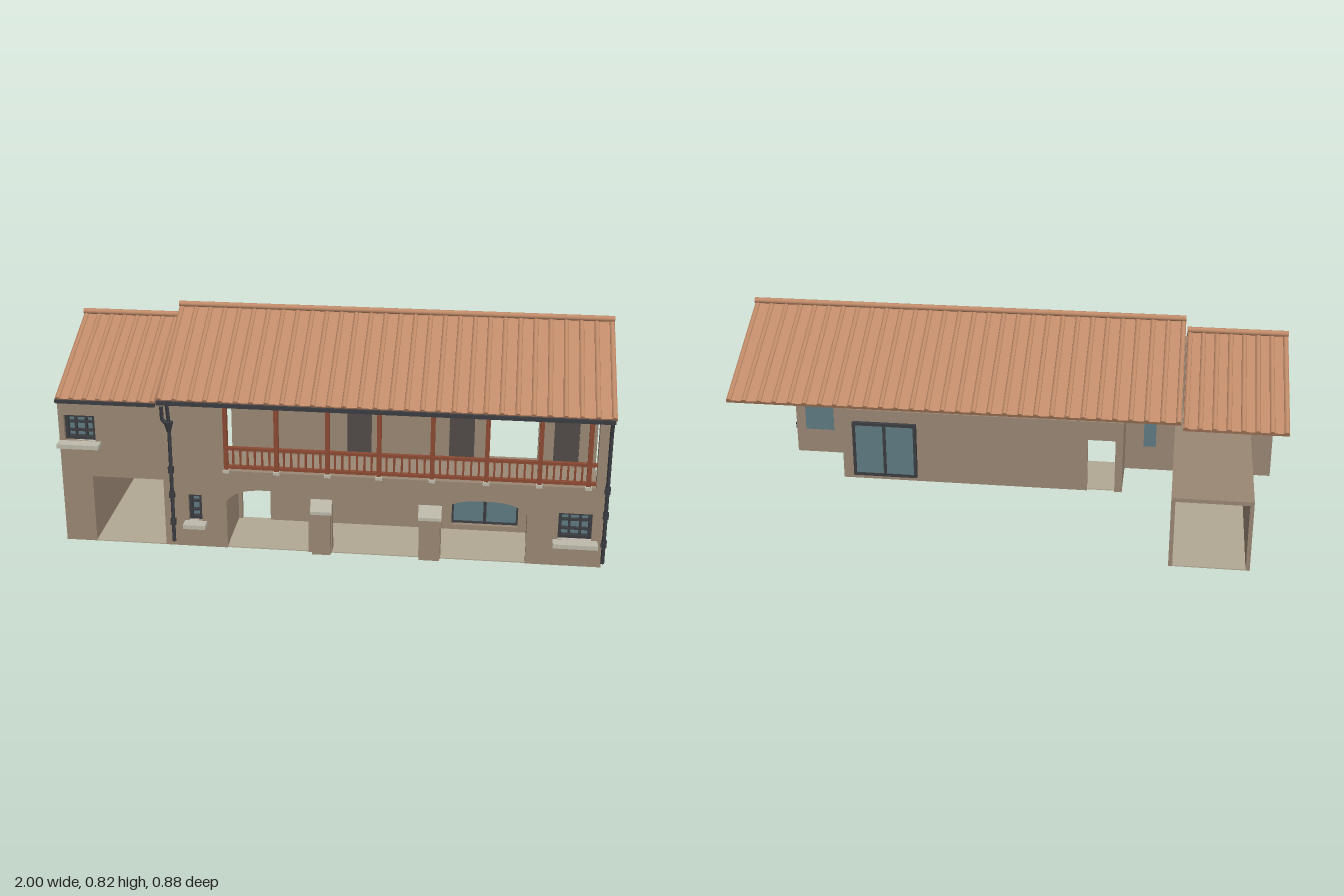
import * as THREE from 'three';

const mat = (name, color, side = THREE.FrontSide) => {
  const m = new THREE.MeshStandardMaterial({ color, side });
  m.name = name;
  return m;
};

export function createModel() {
  const house = new THREE.Group();
  house.name = 'farmhouse';
  const wall = mat('plaster', 0x9a8774);
  const floorMat = mat('floor', 0xb2a994);
  const tile = mat('roofTile', 0xc08b69);
  const wood = mat('redWood', 0x8c4a33);
  const metal = mat('darkMetal', 0x3b3d41);
  const shutter = mat('darkDoor', 0x514b49);
  const glass = mat('glass', 0x5f7b82);
  const stone = mat('paleStone', 0xbdb9ab);

  const add = (name, geo, material, parent = house) => {
    const m = new THREE.Mesh(geo, material);
    m.name = name;
    parent.add(m);
    return m;
  };
  // Box given by its limits on each axis
  const box = (name, material, x0, x1, y0, y1, z0, z1, parent = house) => {
    const m = add(name, new THREE.BoxGeometry(x1 - x0, y1 - y0, z1 - z0), material, parent);
    m.position.set((x0 + x1) / 2, (y0 + y1) / 2, (z0 + z1) / 2);
    return m;
  };
  const rectHole = (x0, x1, y0, y1) => new THREE.Path(
    [[x0, y0], [x0, y1], [x1, y1], [x1, y0]].map(p => new THREE.Vector2(...p)));
  // Upright wall cut from a shape, reaching from z0 to z1
  const cutWall = (name, shape, z0, z1) => {
    const geo = new THREE.ExtrudeGeometry(shape, { depth: z1 - z0, bevelEnabled: false, curveSegments: 12 });
    geo.translate(0, 0, z0);
    return add(name, geo, wall);
  };

  // Front wall: driveway and arches cut from below, gallery cut from above
  const windows = [
    { x0: -0.98, x1: -0.865, y0: 0.405, y1: 0.505, cols: 3, rows: 3, s0: -1, s1: -0.845 },
    { x0: -0.53, x1: -0.48, y0: 0.105, y1: 0.21, cols: 1, rows: 3, s0: -0.545, s1: -0.462 },
    { x0: 0.82, x1: 0.94, y0: 0.105, y1: 0.21, cols: 3, rows: 3, s0: 0.803, s1: 0.963 },
  ];
  const front = new THREE.Shape();
  front.moveTo(-1, 0).lineTo(-0.885, 0).lineTo(-0.885, 0.265).lineTo(-0.62, 0.265).lineTo(-0.62, 0);
  for (const [x0, x1, spring, top] of [[-0.387, -0.085, 0.19, 0.24], [0.002, 0.32, 0.195, 0.236], [0.4, 0.708, 0.195, 0.24]]) {
    const mid = (x0 + x1) / 2, q = (x1 - x0) / 4;
    front.lineTo(x0, 0).lineTo(x0, spring);
    front.bezierCurveTo(x0 + q * 0.4, top - 0.01, mid - q, top, mid, top);
    front.bezierCurveTo(mid + q, top, x1 - q * 0.4, top - 0.01, x1, spring);
    front.lineTo(x1, 0);
  }
  front.lineTo(0.98, 0).lineTo(0.98, 0.583).lineTo(0.945, 0.583).lineTo(0.945, 0.312)
    .lineTo(-0.393, 0.312).lineTo(-0.393, 0.583).lineTo(-0.63, 0.583).lineTo(-0.63, 0.57).lineTo(-1, 0.57);
  for (const w of windows) front.holes.push(rectHole(w.x0, w.x1, w.y0, w.y1));
  cutWall('frontWall', front, 0.36, 0.4);

  // Small windows with bars and sills
  for (const { x0, x1, y0, y1, cols, rows, s0, s1 } of windows) {
    const g = new THREE.Group();
    g.name = 'smallWindow';
    house.add(g);
    box('pane', glass, x0, x1, y0, y1, 0.358, 0.366, g);
    const t = 0.012;
    box('frameLeft', metal, x1 - t, x1, y0, y1, 0.366, 0.385, g);
    box('frameRight', metal, x0, x0 + t, y0, y1, 0.366, 0.385, g);
    box('frameTop', metal, x0, x1, y1 - t, y1, 0.366, 0.384, g);
    box('frameBottom', metal, x0, x1, y0, y0 + t, 0.366, 0.384, g);
    for (let i = 1; i < cols; i++) {
      const x = x0 + (x1 - x0) * i / cols;
      box('uprightBar', metal, x - 0.004, x + 0.004, y0, y1, 0.366, 0.38, g);
    }
    for (let i = 1; i < rows; i++) {
      const y = y0 + (y1 - y0) * i / rows;
      box('crossBar', metal, x0, x1, y - 0.004, y + 0.004, 0.366, 0.379, g);
    }
    box('sill', stone, s0, s1, y0 - 0.016, y0, 0.385, 0.443, g);
  }

  // Buttresses with sloping stone caps
  for (const [x0, x1, y] of [[-0.07, -0.002, 0.165], [0.323, 0.397, 0.163]]) {
    box('buttress', wall, x0, x1, 0, y, 0.4, 0.418);
    const cap = new THREE.Shape([[0.4, y], [0.425, y], [0.425, y + 0.012], [0.402, y + 0.052], [0.4, y + 0.052]]
      .map(p => new THREE.Vector2(...p)));
    const geo = new THREE.ExtrudeGeometry(cap, { depth: x1 - x0 + 0.01, bevelEnabled: false });
    geo.rotateY(-Math.PI / 2).translate(x1 + 0.005, 0, 0);
    add('buttressCap', geo, stone);
  }

  // Ground floor room behind the arches
  const back = new THREE.Shape();
  back.moveTo(-0.405, 0).lineTo(-0.375, 0).lineTo(-0.375, 0.225).lineTo(-0.265, 0.225).lineTo(-0.265, 0)
    .lineTo(0.73, 0).lineTo(0.73, 0.305).lineTo(-0.405, 0.305);
  back.holes.push(rectHole(0.43, 0.68, 0.025, 0.25));
  cutWall('lowerBackWall', back, 0.142, 0.162);
  box('roomSideRight', wall, -0.405, -0.389, 0, 0.3, 0.16, 0.36);
  box('roomSideLeft', wall, 0.712, 0.73, 0, 0.3, 0.16, 0.36);
  box('roomFloor', floorMat, -0.39, 0.715, 0.001, 0.005, 0.15, 0.399);
  box('galleryFloor', wall, -0.405, 0.95, 0.3, 0.315, 0.162, 0.361);

  // Glazed double door at the back
  box('backDoorGlass', glass, 0.43, 0.68, 0.025, 0.25, 0.13, 0.138);
  for (const x of [0.425, 0.549, 0.673])
    box('backDoorUpright', metal, x, x + 0.012, 0.022, 0.254, 0.125, 0.146);
  for (const y of [0.02, 0.243])
    box('backDoorRail', metal, 0.425, 0.685, y, y + 0.012, 0.126, 0.145);

  // Upper wall behind the gallery, with an open doorway and dark doors
  const upper = new THREE.Shape();
  upper.moveTo(-0.393, 0.3).lineTo(0.95, 0.3).lineTo(0.95, 0.583).lineTo(-0.393, 0.583);
  upper.holes.push(rectHole(0.563, 0.738, 0.316, 0.562));
  const doorXs = [0.038, 0.415, 0.795];
  for (const x of doorXs) upper.holes.push(rectHole(x, x + 0.092, 0.316, 0.549));
  cutWall('upperBackWall', upper, 0.207, 0.231);
  for (const x of doorXs) box('galleryDoor', shutter, x, x + 0.092, 0.312, 0.549, 0.193, 0.206);

  // Driveway passage running to the back
  box('passageWallRight', wall, -0.9, -0.885, 0, 0.28, -0.412, 0.36);
  box('passageWallLeft', wall, -0.62, -0.605, 0, 0.28, -0.412, 0.36);
  box('passageRoof', wall, -0.885, -0.62, 0.265, 0.28, -0.412, 0.36);
  box('passageFloor', floorMat, -0.885, -0.62, 0, 0.004, -0.412, 0.4);

  // Gallery posts, rails and balusters
  const posts = [-0.386, -0.2, -0.014, 0.172, 0.363, 0.557, 0.745, 0.918];
  posts.forEach((x, i) => {
    box('galleryPost', wood, x - 0.008, x + 0.008, 0.312, 0.575, 0.38, 0.398);
    box('postFoot', stone, x - 0.012, x + 0.012, 0.305, 0.316, 0.378, 0.405);
    if (i === posts.length - 1) return;
    const next = posts[i + 1], n = 7;
    for (let k = 1; k < n; k++) {
      const bx = x + (next - x) * k / n;
      box('baluster', wood, bx - 0.0035, bx + 0.0035, 0.33, 0.396, 0.385, 0.392);
    }
  });
  for (const [name, y0, y1] of [['handRail', 0.393, 0.404], ['footRail', 0.32, 0.331], ['topBeam', 0.562, 0.576]])
    box(name, wood, -0.393, 0.945, y0, y1, 0.381, 0.396);

  // One roof slope between two points of its upper line, with raised tile ribs
  const slope = (name, x0, x1, za, ya, zb, yb, step) => {
    const len = Math.hypot(zb - za, yb - ya);
    const g = new THREE.Group();
    g.name = name;
    g.position.set(0, (ya + yb) / 2, (za + zb) / 2);
    g.rotation.x = Math.atan2(ya - yb, zb - za);
    house.add(g);
    box('roofSlab', tile, x0, x1, -0.018, -0.006, -len / 2, len / 2, g);
    const n = Math.round((x1 - x0) / step);
    const rib = new THREE.CylinderGeometry(0.01, 0.01, len, 8).rotateX(Math.PI / 2);
    for (let i = 0; i <= n; i++) {
      const r = add('tileRib', rib, tile, g);
      r.position.set(x0 + 0.01 + (x1 - x0 - 0.02) * i / n, -0.008, 0);
    }
  };
  const roof = (name, x0, x1, ridge, eaveFront, eaveBack) => {
    slope(name + 'Front', x0, x1, -0.007, ridge, 0.424, eaveFront, 0.056);
    slope(name + 'Back', x0, x1, -0.44, eaveBack, -0.007, ridge, 0.056);
    const cap = add(name + 'Ridge', new THREE.CylinderGeometry(0.011, 0.011, x1 - x0, 12).rotateZ(Math.PI / 2), tile);
    cap.position.set((x0 + x1) / 2, ridge + 0.004, -0.007);
  };
  roof('mainRoof', -0.627, 1, 0.808, 0.594, 0.592);
  roof('lowRoof', -1, -0.633, 0.765, 0.582, 0.572);

  // Gutters and downpipes
  box('mainGutter', metal, -0.627, 0.995, 0.57, 0.584, 0.412, 0.429);
  box('lowGutter', metal, -1, -0.633, 0.56, 0.573, 0.412, 0.427);
  const pipe = (name, pts) => add(name, new THREE.TubeGeometry(
    new THREE.CatmullRomCurve3(pts.map(p => new THREE.Vector3(...p)), false, 'catmullrom', 0.1), 24, 0.007, 8), metal);
  pipe('downpipeLeft', [[0.985, 0.575, 0.42], [0.985, 0.545, 0.415], [0.985, 0.52, 0.406], [0.985, 0.02, 0.406]]);
  pipe('downpipeRight', [[-0.59, 0.575, 0.42], [-0.588, 0.52, 0.412], [-0.588, 0.48, 0.406], [-0.588, 0.02, 0.406]]);
  pipe('lowRoofOutlet', [[-0.61, 0.565, 0.42], [-0.61, 0.51, 0.414], [-0.59, 0.485, 0.41]]);
  const hopper = add('hopper', new THREE.CylinderGeometry(0.018, 0.008, 0.04, 8), metal);
  hopper.position.set(-0.588, 0.482, 0.412);
  for (const x of [-0.588, 0.985])
    for (const y of [0.1, 0.21, 0.31])
      box('pipeClip', metal, x - 0.01, x + 0.01, y - 0.012, y + 0.012, 0.398, 0.414);

  return house;
}
